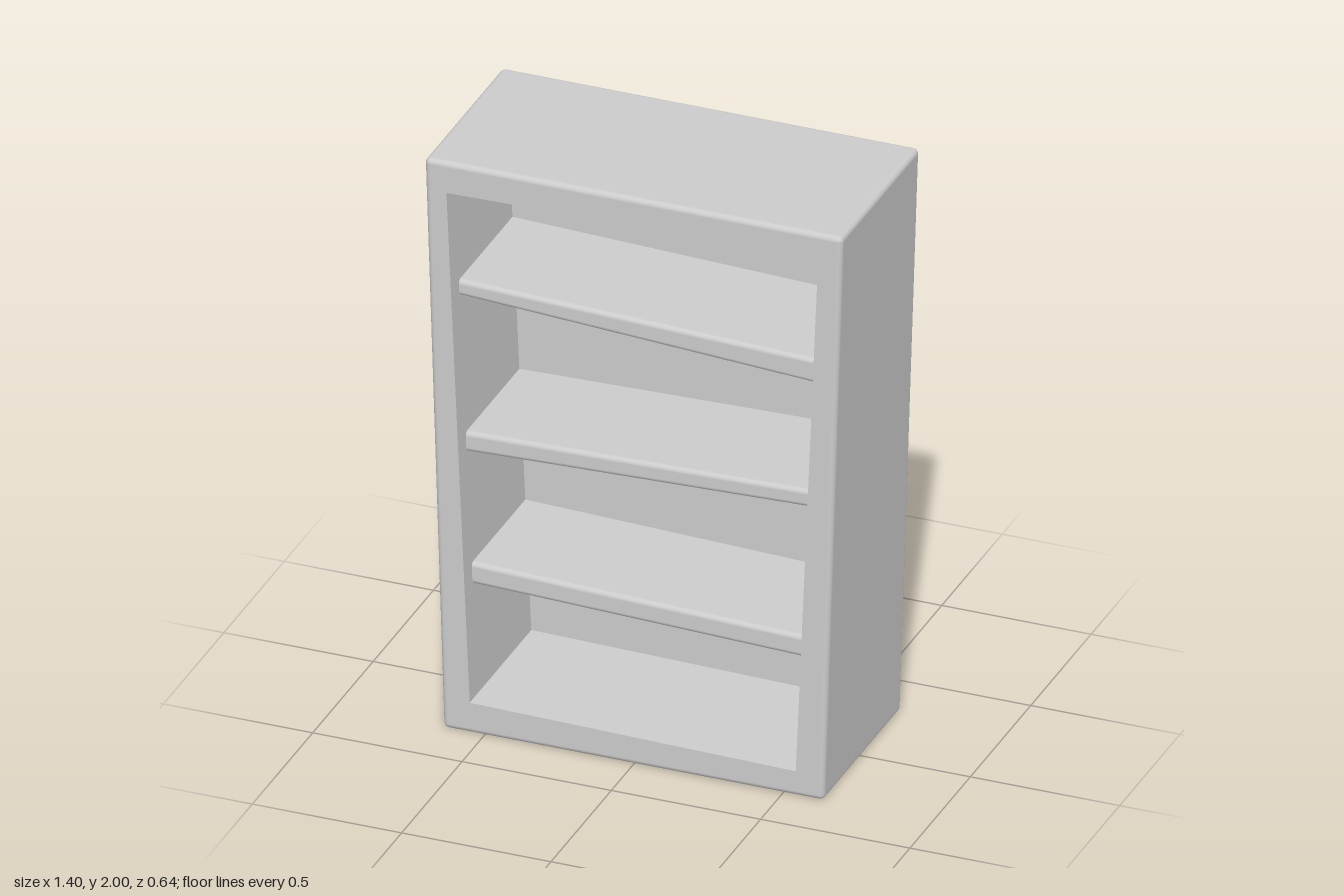
import * as THREE from 'three';

const ARC = 5; // segments in each rounded edge
const FRONT = 0.32, BACK = -0.325, CAVITY_BACK = -0.19;
const material = new THREE.MeshStandardMaterial({ color: 0xcccccc });

function makeMesh(name, geometry) {
  const mesh = new THREE.Mesh(geometry, material);
  mesh.name = name;
  return mesh;
}

// Prism along z over a counter-clockwise quad, with all edges rounded.
// An optional quad hole is left open in the front face.
function roundedPrism(quad, z0, z1, r, hole) {
  const pts = quad.map(([x, y]) => new THREE.Vector2(x, y));
  const n = pts.length;
  const edgeNormals = pts.map((p, i) => {
    const d = pts[(i + 1) % n].clone().sub(p).normalize();
    return new THREE.Vector2(d.y, -d.x);
  });
  const middle = pts.reduce((s, p) => s.add(p), new THREE.Vector2()).divideScalar(n);

  // outline: corner centres, each with a fan of outward directions
  const outline = [];
  pts.forEach((p, i) => {
    const a = edgeNormals[(i + n - 1) % n], b = edgeNormals[i];
    const centre = p.clone().addScaledVector(a.clone().add(b), -r / (1 + a.dot(b)));
    const start = a.angle(), sweep = Math.acos(a.dot(b));
    for (let k = 0; k <= ARC; k++) {
      const t = start + (sweep * k) / ARC;
      outline.push({ centre, dir: new THREE.Vector2(Math.cos(t), Math.sin(t)), corner: i });
    }
  });

  const position = [], normal = [], index = [];
  const capRing = (pick, z, nz) => outline.forEach((o) => {
    const p = pick(o);
    position.push(p.x, p.y, z);
    normal.push(0, 0, nz);
  });
  const roundRing = (phi, z) => outline.forEach(({ centre, dir }) => {
    const c = Math.cos(phi), s = Math.sin(phi);
    position.push(centre.x + r * c * dir.x, centre.y + r * c * dir.y, z + r * s);
    normal.push(c * dir.x, c * dir.y, s);
  });

  capRing(() => middle, z0, -1);
  for (let k = 0; k <= ARC; k++) roundRing((k / ARC - 1) * Math.PI / 2, z0 + r);
  for (let k = 0; k <= ARC; k++) roundRing((k / ARC) * Math.PI / 2, z1 - r);
  capRing((o) => (hole ? new THREE.Vector2(...hole[o.corner]) : middle), z1, 1);

  const m = outline.length, rings = position.length / 3 / m;
  for (let j = 0; j < rings - 1; j++) {
    for (let i = 0; i < m; i++) {
      const a = j * m + i, b = j * m + (i + 1) % m;
      index.push(a, b, b + m, a, b + m, a + m);
    }
  }
  const g = new THREE.BufferGeometry();
  g.setAttribute('position', new THREE.Float32BufferAttribute(position, 3));
  g.setAttribute('normal', new THREE.Float32BufferAttribute(normal, 3));
  g.setIndex(index);
  return g;
}

// Inward-facing walls and back of the recess
function recess(quad, zFront, zBack) {
  const at = (i, z) => [...quad[i % 4], z];
  const v = [];
  for (let i = 0; i < 4; i++) {
    v.push(...at(i, zFront), ...at(i + 1, zFront), ...at(i + 1, zBack));
    v.push(...at(i, zFront), ...at(i + 1, zBack), ...at(i, zBack));
  }
  for (const i of [0, 1, 2, 0, 2, 3]) v.push(...at(i, zBack));
  const g = new THREE.BufferGeometry();
  g.setAttribute('position', new THREE.Float32BufferAttribute(v, 3));
  g.computeVertexNormals();
  return g;
}

export function createModel() {
  const group = new THREE.Group();
  group.name = 'bookcase';

  // case: wider at the top, with a slightly crooked opening
  const outer = [[-0.637, 0], [0.637, 0], [0.7, 2], [-0.7, 2]];
  const opening = [[-0.547, 0.108], [0.545, 0.088], [0.62, 1.915], [-0.625, 1.893]];
  group.add(makeMesh('case', roundedPrism(outer, BACK, FRONT, 0.018, opening)));
  group.add(makeMesh('recess', recess(opening, FRONT, CAVITY_BACK)));

  // shelves: half width, then bottom and top heights at the -x and +x ends
  const shelves = [
    ['lowerShelf', 0.56, 0.49, 0.565, 0.455, 0.53],
    ['middleShelf', 0.585, 0.953, 1.023, 0.99, 1.05],
    ['upperShelf', 0.607, 1.5, 1.555, 1.43, 1.515],
  ];
  for (const [name, w, b0, t0, b1, t1] of shelves) {
    // ends and back are sunk into the case
    const e = w + 0.03, k = 0.015 / w;
    const quad = [
      [-e, b0 - (b1 - b0) * k], [e, b1 + (b1 - b0) * k],
      [e, t1 + (t1 - t0) * k], [-e, t0 - (t1 - t0) * k],
    ];
    group.add(makeMesh(name, roundedPrism(quad, CAVITY_BACK - 0.03, 0.255, 0.016)));
  }
  return group;
}
